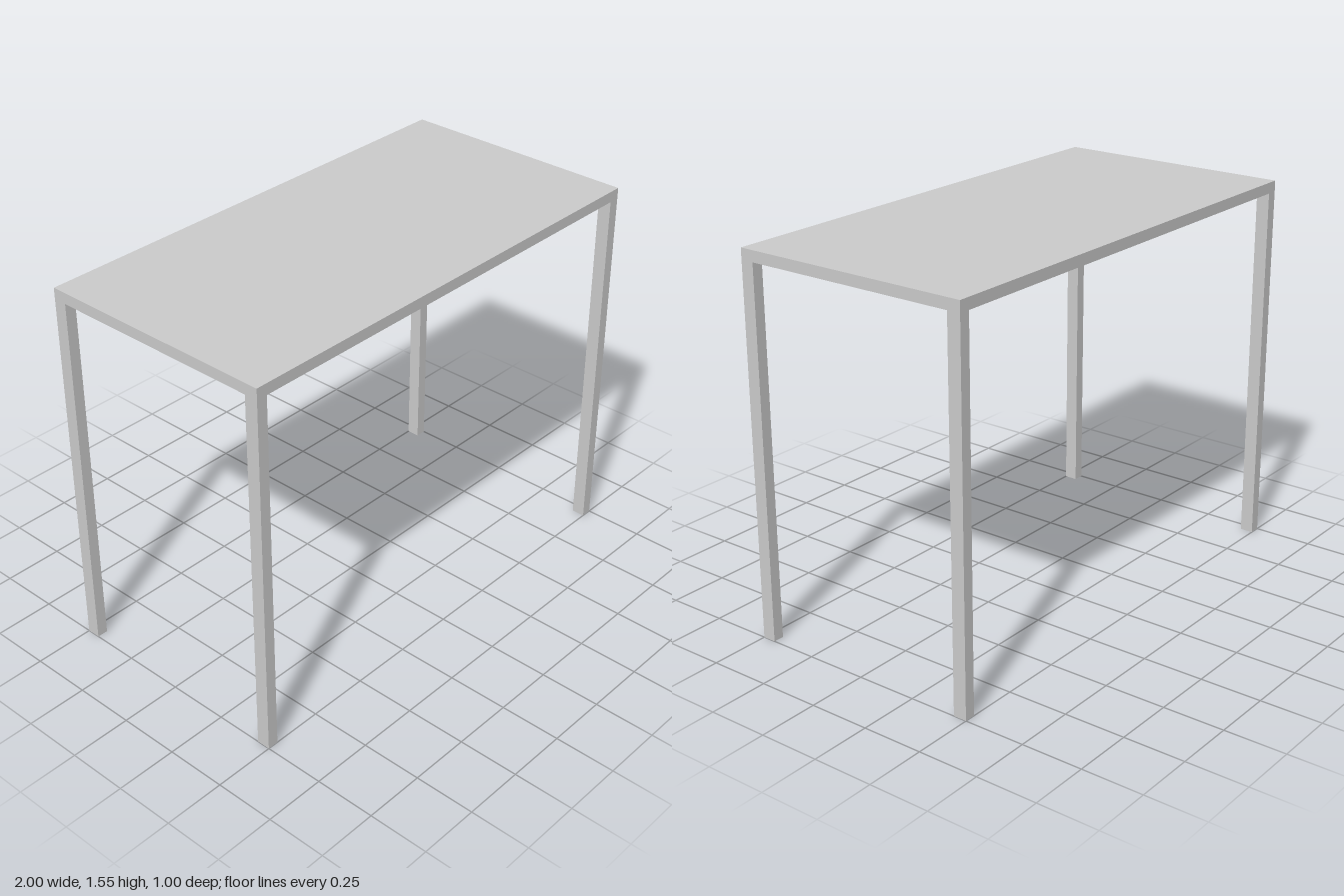
import * as THREE from 'three';

const WIDTH = 2, DEPTH = 1, HEIGHT = 1.55;
const TOP = 0.045;                      // tabletop thickness
const LEG_X = 0.045, LEG_Z = 0.055;     // leg section

export function createModel() {
  const table = new THREE.Group();
  table.name = 'table';
  const material = new THREE.MeshStandardMaterial({ color: 0xcccccc });

  const addBox = (name, w, h, d, x, y, z) => {
    const mesh = new THREE.Mesh(new THREE.BoxGeometry(w, h, d), material);
    mesh.name = name;
    mesh.position.set(x, y, z);
    table.add(mesh);
  };

  // Flat rectangular top
  addBox('tabletop', WIDTH, TOP, DEPTH, 0, HEIGHT - TOP / 2, 0);

  // Four square-cut legs, flush with the corners
  const legHeight = HEIGHT - TOP;
  for (const [side, sx] of [['Left', 1], ['Right', -1]]) {
    for (const [end, sz] of [['front', 1], ['back', -1]]) {
      addBox(`${end}${side}Leg`, LEG_X, legHeight, LEG_Z,
        sx * (WIDTH - LEG_X) / 2, legHeight / 2, sz * (DEPTH - LEG_Z) / 2);
    }
  }
  return table;
}
